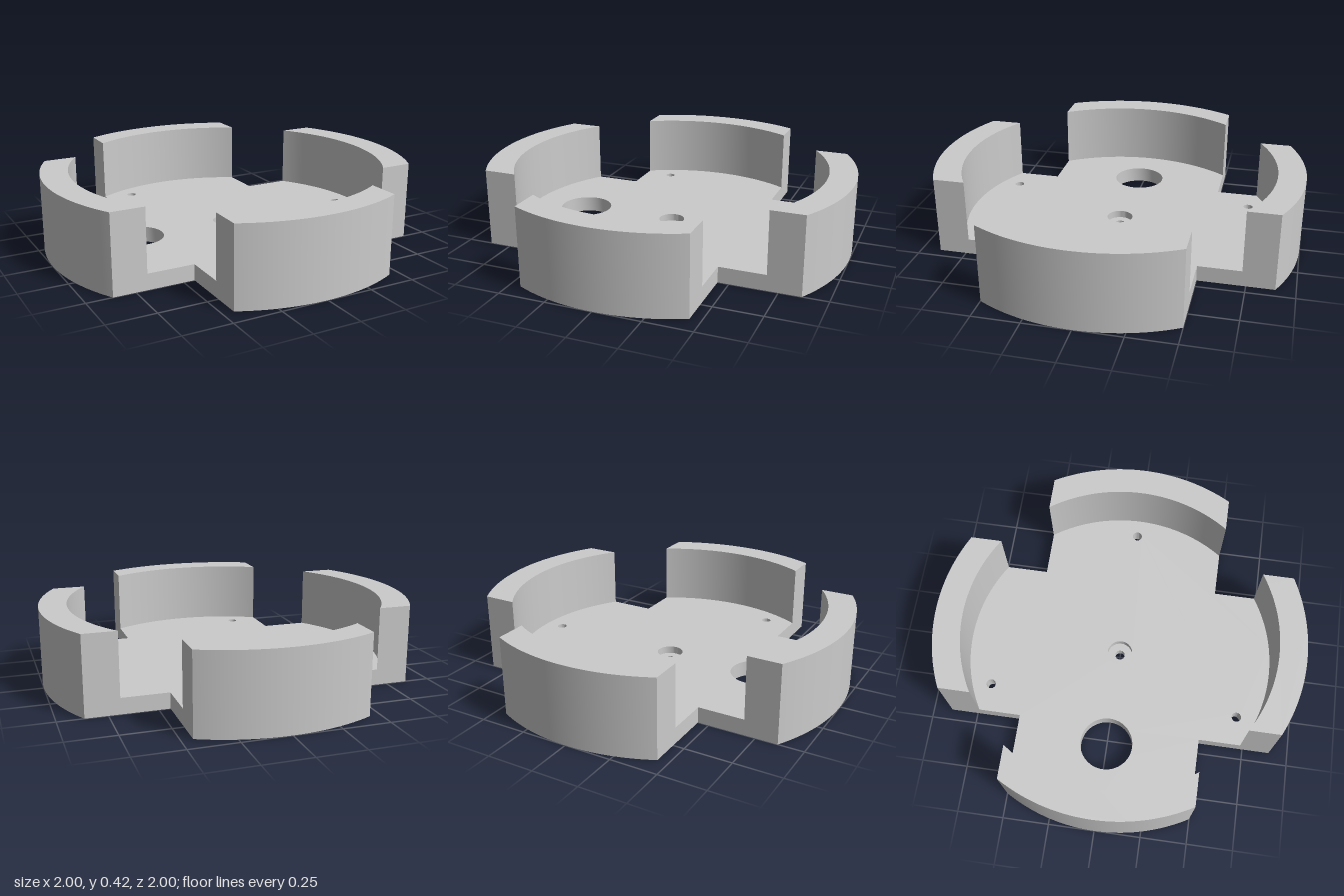
import * as THREE from 'three';
import { toCreasedNormals } from 'three/addons/utils/BufferGeometryUtils.js';

const OUTER = 1, INNER = 0.852;          // wall radii
const HALF_X = 0.442, HALF_Z = 0.5;      // half widths of the two crossing arms
const FLOOR = 0.085, HEIGHT = 0.42;
const BORE_R = 0.07, PIN_R = 0.027, BORE_Y = 0.045;

const material = new THREE.MeshStandardMaterial({ color: 0xcccccc });

// Angle from an arm's axis to its edge, for a given radius
const spread = (half, r) => Math.asin(half / r);

// The four arms, counter-clockwise in plan
const arms = [
  { name: 'leftWall', angle: 0, half: HALF_Z },
  { name: 'backWall', angle: Math.PI / 2, half: HALF_X },
  { name: 'rightWall', angle: Math.PI, half: HALF_Z },
  { name: 'frontWall', angle: Math.PI * 1.5, half: HALF_X },
];

// Extrude a plan shape upwards from y = 0
function slab(name, shape, depth) {
  const geometry = new THREE.ExtrudeGeometry(shape, { depth, bevelEnabled: false, curveSegments: 24 });
  geometry.rotateX(-Math.PI / 2);
  const mesh = new THREE.Mesh(toCreasedNormals(geometry, 0.4), material);
  mesh.name = name;
  return mesh;
}

function createFloor() {
  // Cross outline: rounded arm ends joined by square inner corners
  const shape = new THREE.Shape();
  const corners = [[1, 1], [-1, 1], [-1, -1], [1, -1]];
  arms.forEach(({ angle, half }, i) => {
    const s = spread(half, INNER);
    const start = [INNER * Math.cos(angle - s), INNER * Math.sin(angle - s)];
    if (i === 0) shape.moveTo(...start);
    else shape.lineTo(...start);
    shape.absarc(0, 0, INNER, angle - s, angle + s, false);
    shape.lineTo(corners[i][0] * HALF_X, corners[i][1] * HALF_Z);
  });
  shape.closePath();

  // Cable opening, three screw holes and the centre bore: x, y, radius
  const holes = [[-0.535, 0, 0.143], [0.75, 0, 0.027], [-0.285, 0.693, 0.026], [-0.285, -0.693, 0.026], [0, 0, BORE_R]];
  for (const [x, y, r] of holes) {
    shape.holes.push(new THREE.Path().absarc(x, y, r, 0, Math.PI * 2, true));
  }
  return slab('floor', shape, FLOOR);
}

function createWall({ name, angle, half }) {
  const so = spread(half, OUTER), si = spread(half, INNER);
  const shape = new THREE.Shape();
  shape.absarc(0, 0, OUTER, angle - so, angle + so, false);
  shape.absarc(0, 0, INNER, angle + si, angle - si, true);
  shape.closePath();
  return slab(name, shape, HEIGHT);
}

// Ledge at the bottom of the centre bore, leaving a small through hole
function createBoreLedge() {
  const shape = new THREE.Shape().absarc(0, 0, BORE_R, 0, Math.PI * 2, false);
  shape.holes.push(new THREE.Path().absarc(0, 0, PIN_R, 0, Math.PI * 2, true));
  return slab('boreLedge', shape, BORE_Y);
}

export function createModel() {
  const group = new THREE.Group();
  group.name = 'slottedRoundTray';
  group.add(createFloor(), createBoreLedge(), ...arms.map(createWall));
  return group;
}
